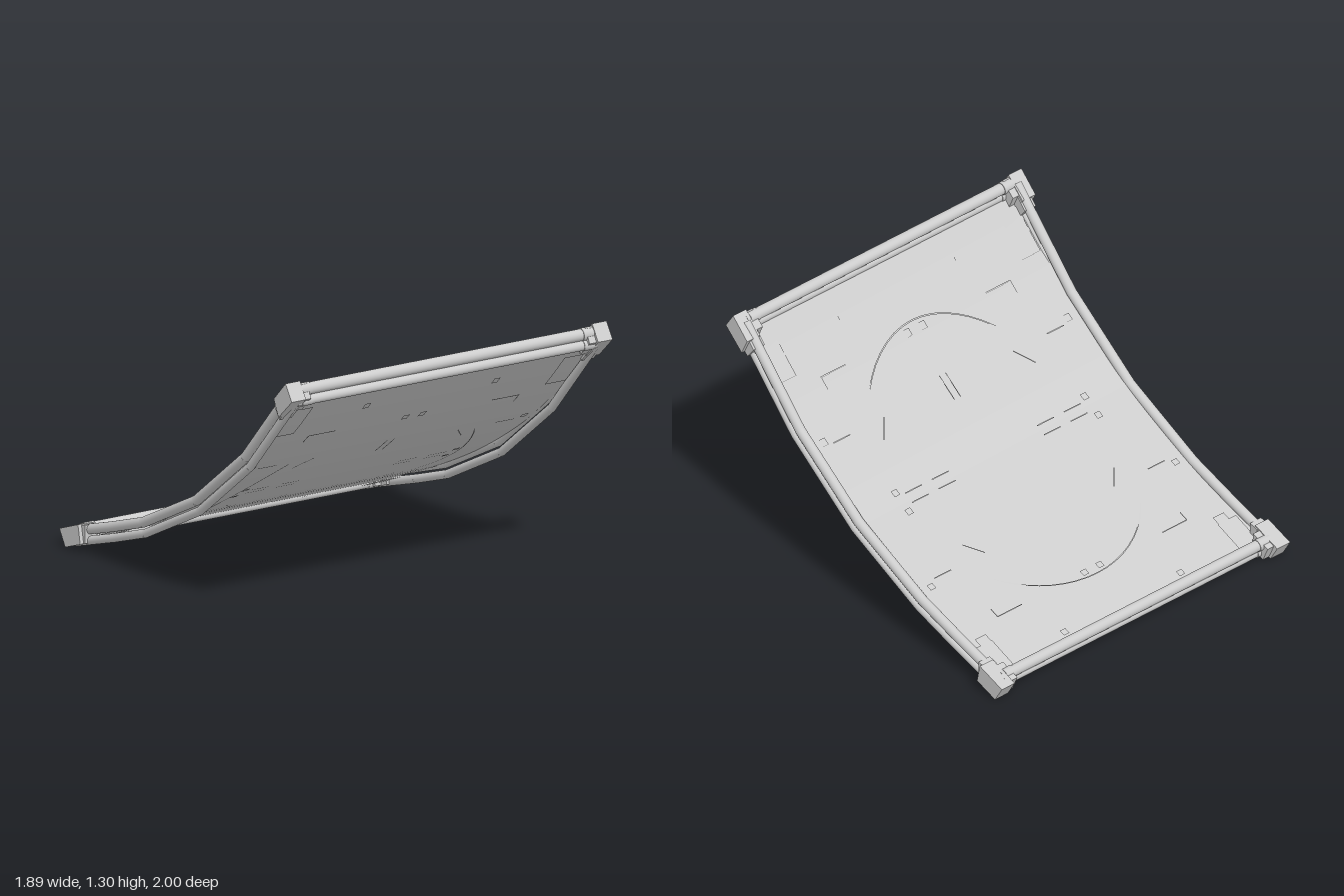
import * as THREE from 'three';

// Side curve of the frame: height for a given z
const curveY = (z) => 0.41 + 0.5445 * z + 0.2686 * z * z + 0.091 * z * z * z;
// The panel sags slightly less than the frame
const panelY = (z) => curveY(z) + 0.03 - 0.055 * (z / 0.9) ** 2;
// The ring dips under the panel in the middle and rises above it at the ends
const ringY = (z) => panelY(z) - 0.012 + 0.03 * (z / 0.67) ** 2;

export function createModel() {
  const model = new THREE.Group();
  const grey = new THREE.MeshStandardMaterial({ color: 0xcccccc, side: THREE.DoubleSide });
  grey.name = 'light grey';

  const add = (geometry, name) => {
    const mesh = new THREE.Mesh(geometry, grey);
    mesh.name = name;
    model.add(mesh);
    return mesh;
  };

  // Bends a flat geometry lying in x/z onto a height rule
  const drape = (geometry, rule) => {
    const p = geometry.attributes.position;
    for (let i = 0; i < p.count; i++) p.setY(i, p.getY(i) + rule(p.getZ(i)));
    geometry.computeVertexNormals();
    return geometry;
  };
  const patch = (x, z, w, d, offset, name, turn = 0) => {
    const g = new THREE.PlaneGeometry(w, d, 1, 4).rotateX(-Math.PI / 2).rotateY(turn);
    add(drape(g.translate(x, offset, z), panelY), name);
  };

  // Round bar between two points
  const bar = (a, b, r, name) => {
    const dir = b.clone().sub(a);
    const mesh = add(new THREE.CylinderGeometry(r, r, dir.length(), 20), name);
    mesh.position.copy(a).add(b).multiplyScalar(0.5);
    mesh.quaternion.setFromUnitVectors(new THREE.Vector3(0, 1, 0), dir.normalize());
  };

  // Solid block from a side profile of [z, y] points, spanning x0 to x1
  const block = (profile, x0, x1, name) => {
    const shape = new THREE.Shape(profile.map(([z, y]) => new THREE.Vector2(-z, y)));
    const g = new THREE.ExtrudeGeometry(shape, { depth: x1 - x0, bevelEnabled: false });
    add(g.rotateY(Math.PI / 2).translate(x0, 0, 0), name);
  };

  // Curved panel, running into the end rails
  const panel = new THREE.PlaneGeometry(1.77, 1.86, 1, 32).rotateX(-Math.PI / 2).translate(0, 0, 0.015);
  add(drape(panel, panelY), 'panel');

  // Side tubes: an upper and a lower bent tube on each side
  const mid = [[0.94, 1.235], [0.54, 0.797], [0.11, 0.468], [-0.35, 0.243], [-0.615, 0.155], [-0.94, 0.055]];
  const offsetPath = (x, off) => mid.map(([z, y], i) => {
    const a = mid[Math.max(i - 1, 0)], b = mid[Math.min(i + 1, mid.length - 1)];
    const dz = a[0] - b[0], dy = a[1] - b[1], len = Math.hypot(dz, dy);
    return new THREE.Vector3(x, y + off * dz / len, z - off * dy / len);
  });
  for (const s of [-1, 1]) {
    for (const [off, r, name] of [[0.026, 0.026, 'upperSideTube'], [-0.029, 0.022, 'lowerSideTube']]) {
      const pts = offsetPath(s * 0.888, off);
      for (let i = 0; i < pts.length - 1; i++) {
        bar(pts[i], pts[i + 1], r, name);
        if (i) {
          const joint = add(new THREE.SphereGeometry(r, 16, 10), name + 'Joint');
          joint.position.copy(pts[i]);
        }
      }
    }
  }

  // Cross rails at both ends, touching in pairs, with collars beside the brackets
  const rails = [
    [1.252, 0.936, 0.03, 'upperFrontRail'], [1.2, 0.947, 0.025, 'lowerFrontRail'],
    [0.09, -0.916, 0.029, 'upperBackRail'], [0.043, -0.905, 0.023, 'lowerBackRail'],
  ];
  for (const [y, z, r, name] of rails) {
    bar(new THREE.Vector3(-0.88, y, z), new THREE.Vector3(0.88, y, z), r, name);
    for (const s of [-1, 1]) {
      bar(new THREE.Vector3(s * 0.8, y, z), new THREE.Vector3(s * 0.86, y, z), r + 0.003, name + 'Collar');
    }
  }

  // Corner brackets: main block, stepped inner block and an arm along the side tubes
  const frontBody = [[0.947, 1.302], [1.0, 1.22], [0.885, 1.115], [0.845, 1.2]];
  const backBody = [[-1.0, 0.088], [-0.95, 0.004], [-0.82, 0.05], [-0.84, 0.146]];
  const frontArm = [[0.88, 1.222], [0.91, 1.14], [0.865, 1.095], [0.82, 1.155]];
  const backArm = [[-0.86, 0.135], [-0.86, 0.035], [-0.81, 0.052], [-0.81, 0.146]];
  const frontStep = [[0.945, 1.29], [0.985, 1.215], [0.905, 1.14], [0.87, 1.22]];
  const backStep = [[-0.975, 0.09], [-0.94, 0.012], [-0.86, 0.037], [-0.87, 0.13]];
  for (const s of [-1, 1]) {
    const span = (profile, a, b, name) =>
      block(profile, Math.min(s * a, s * b), Math.max(s * a, s * b), name);
    for (const [body, arm, step, end] of [[frontBody, frontArm, frontStep, 'front'], [backBody, backArm, backStep, 'back']]) {
      span(body, 0.86, 0.945, end + 'Bracket');
      span(step, 0.82, 0.865, end + 'BracketStep');
      span(arm, 0.853, 0.925, end + 'BracketArm');
    }
  }

  // Fittings on both faces of the panel
  for (const off of [0.009, -0.009]) {
    for (const s of [-1, 1]) {
      // Corner reinforcement plates
      patch(s * 0.8, -0.79, 0.12, 0.18, off, 'cornerPlate');
      patch(s * 0.8, 0.8, 0.12, 0.17, off, 'cornerPlate');
      patch(s * 0.78, -0.68, 0.07, 0.04, off, 'cornerPlateTab');
      // Small square tabs
      for (const [x, z] of [[0.38, -0.83], [0.38, 0.82], [0.8, -0.33], [0.8, 0.45],
        [0.62, 0.03], [0.62, 0.13], [0.05, -0.61], [0.05, 0.67]]) {
        patch(s * x, z, 0.035, 0.03, off, 'tab');
      }
      // Thin marks around the middle
      for (const z of [0.06, 0.11]) {
        patch(s * 0.345, z, 0.11, 0.005, off, 'mark');
        patch(s * 0.52, z, 0.11, 0.005, off, 'mark');
      }
      patch(s * 0.7, -0.3, 0.11, 0.005, off, 'mark');
      patch(s * 0.7, 0.43, 0.11, 0.005, off, 'mark');
      patch(s * 0.02, 0.42, 0.005, 0.11, off, 'mark');
      patch(s * 0.46, -0.26, 0.11, 0.005, off, 'diagonalMark', -s * 0.83);
      patch(s * 0.46, 0.39, 0.11, 0.005, off, 'diagonalMark', s * 0.83);
      // Corners of the inner border
      for (const z of [-0.61, 0.67]) {
        patch(s * 0.54, z, 0.16, 0.005, off, 'borderCorner');
        patch(s * 0.62, z - Math.sign(z) * 0.025, 0.005, 0.05, off, 'borderCorner');
      }
    }
  }

  // Thin ring dipping through the panel
  const ring = new THREE.RingGeometry(0.669, 0.675, 64).rotateX(-Math.PI / 2).scale(0.975, 1, 1);
  add(drape(ring.translate(0, 0, 0.025), ringY), 'ring');

  return model;
}
